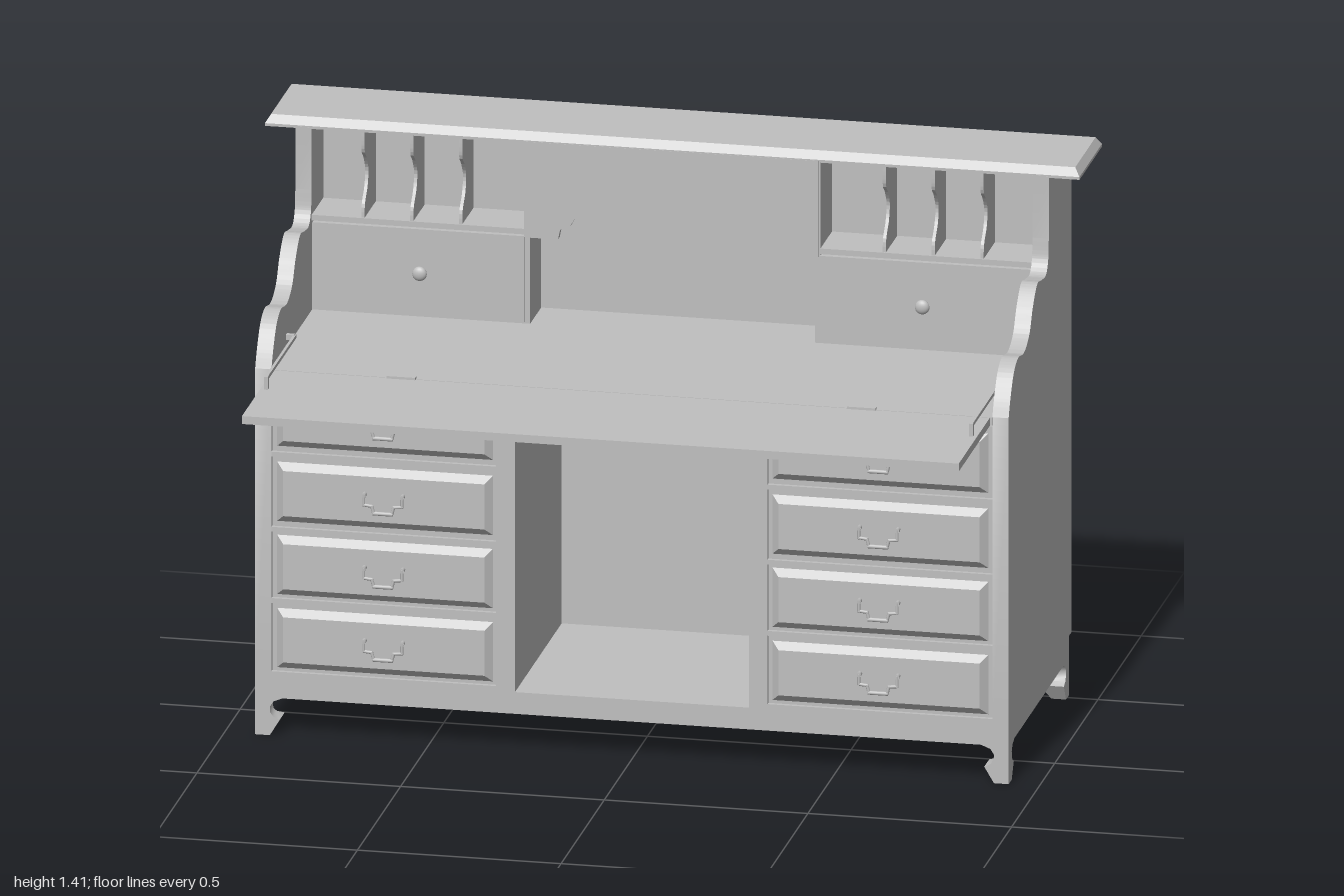
import * as THREE from 'three';
import { toCreasedNormals } from 'three/addons/utils/BufferGeometryUtils.js';

export function createModel() {
  const root = new THREE.Group();
  root.name = 'writingDesk';
  const grey = new THREE.MeshStandardMaterial({ color: 0xbfbfbf });
  grey.name = 'plain grey';

  const add = (name, geo, parent = root) => {
    const m = new THREE.Mesh(geo, grey);
    m.name = name;
    parent.add(m);
    return m;
  };
  // Box given by its extents
  const box = (name, x0, x1, y0, y1, z0, z1, parent) => {
    const g = new THREE.BoxGeometry(Math.abs(x1 - x0), y1 - y0, z1 - z0);
    g.translate((x0 + x1) / 2, (y0 + y1) / 2, (z0 + z1) / 2);
    return add(name, g, parent);
  };
  // Box whose +axis face is shrunk to make bevels
  const bevelBox = (w, h, d, axis, inset) => {
    const g = new THREE.BoxGeometry(w, h, d);
    const p = g.attributes.position;
    for (let i = 0; i < p.count; i++) {
      if (p.getComponent(i, axis) < 0) continue;
      for (let a = 0; a < 3; a++) {
        const v = p.getComponent(i, a);
        if (a !== axis) p.setComponent(i, a, v - Math.sign(v) * inset);
      }
    }
    g.computeVertexNormals();
    return g;
  };
  // Extrude a (z, y) outline along x, centred on cx
  const sideExtrude = (shape, thick, cx) => {
    const g = new THREE.ExtrudeGeometry(shape, { depth: thick, bevelEnabled: false, curveSegments: 36 });
    g.rotateY(-Math.PI / 2);
    g.translate(cx + thick / 2, 0, 0);
    return toCreasedNormals(g, 0.6);
  };
  // Round rod between two points
  const rod = (name, a, b, r, parent) => {
    const line = new THREE.LineCurve3(new THREE.Vector3(...a), new THREE.Vector3(...b));
    const g = new THREE.CylinderGeometry(r, r, line.getLength() + r, 8);
    const m = add(name, g, parent);
    m.position.copy(line.getPoint(0.5));
    m.quaternion.setFromUnitVectors(new THREE.Vector3(0, 1, 0), line.getTangent(0));
  };
  const V = (x, y) => new THREE.Vector2(x, y);

  // Wavy side panel outline
  const side = new THREE.Shape();
  side.moveTo(-0.545, 0.15);
  side.lineTo(0.18, 0.15);
  side.lineTo(0.18, 0.925);
  side.splineThru([V(0.158, 0.97), V(0.12, 1.02), V(0.07, 1.042), V(0, 1.034), V(-0.06, 1.06),
    V(-0.1, 1.115), V(-0.15, 1.157), V(-0.2, 1.152), V(-0.25, 1.148), V(-0.277, 1.175), V(-0.285, 1.23)]);
  side.lineTo(-0.285, 1.387);
  side.lineTo(-0.545, 1.387);

  // Pigeonhole divider outline with a scalloped front
  const divider = new THREE.Shape();
  divider.moveTo(-0.425, 1.16);
  divider.lineTo(-0.29, 1.16);
  divider.splineThru([V(-0.295, 1.2), V(-0.325, 1.235), V(-0.335, 1.275), V(-0.315, 1.31), V(-0.292, 1.335), V(-0.29, 1.387)]);
  divider.lineTo(-0.425, 1.387);

  // Bracket foot: square sections growing inward from the outer corner
  const footY = [0, 0.04, 0.048, 0.058, 0.072, 0.086, 0.098];
  const footW = [0.036, 0.06, 0.044, 0.037, 0.036, 0.045, 0.075];
  const foot = (sx, front) => {
    const g = new THREE.BoxGeometry(1, 1, 1, 1, 6, 1);
    const p = g.attributes.position;
    for (let i = 0; i < p.count; i++) {
      const k = Math.round((p.getY(i) + 0.5) * 6);
      const outX = p.getX(i) * sx > 0, outZ = p.getZ(i) * front > 0;
      p.setXYZ(i, sx * (0.925 - (outX ? 0 : footW[k])), footY[k],
        (front > 0 ? 0.18 : -0.52) - (outZ ? 0 : front * footW[k]));
    }
    return toCreasedNormals(g.toNonIndexed(), 0.7);
  };

  // Carcass
  box('base', -0.925, 0.925, 0.095, 0.15, -0.52, 0.18);
  box('backPanel', -0.885, 0.885, 0.15, 1.387, -0.538, -0.515);
  box('kneeholeBack', -0.3, 0.3, 0.15, 0.905, -0.38, -0.36);
  box('fixedDesktop', -0.885, 0.885, 0.905, 0.925, -0.52, 0.182);
  box('foldingLeaf', -0.88, 0.88, 0.905, 0.925, 0.185, 0.545);
  box('upperBack', -0.885, 0.885, 0.925, 1.387, -0.52, -0.42);
  const cap = add('topCap', bevelBox(2, 0.02, 0.262, 1, 0.013));
  cap.position.set(0, 1.4, -0.417);
  box('topCapEdge', -1, 1, 1.383, 1.39, -0.548, -0.286);

  // Centre fascia with a notched lower edge
  const fascia = new THREE.Shape([
    V(-0.36, 1.387), V(-0.36, 1.145), V(-0.28, 1.145), V(-0.275, 1.17), V(-0.25, 1.18), V(-0.24, 1.2),
    V(-0.065, 1.2), V(-0.045, 1.175), V(0, 1.132), V(0.045, 1.175), V(0.065, 1.2),
    V(0.24, 1.2), V(0.25, 1.18), V(0.275, 1.17), V(0.28, 1.145), V(0.36, 1.145), V(0.36, 1.387)]);
  add('fascia', new THREE.ExtrudeGeometry(fascia, { depth: 0.02, bevelEnabled: false })).position.z = -0.305;

  // Bail pull, mounted on a drawer front
  const pull = (x, y) => {
    const g = new THREE.Group();
    g.name = 'drawerPull';
    g.position.set(x, y, 0);
    root.add(g);
    const r = 0.004, z = 0.198;
    for (const s of [-1, 1]) {
      rod('pullPost', [s * 0.047, 0.018, 0.18], [s * 0.047, 0.018, z], 0.006, g);
      rod('pullArm', [s * 0.047, 0.018, z], [s * 0.047, -0.006, z], r, g);
      rod('pullShoulder', [s * 0.047, -0.006, z], [s * 0.027, -0.008, z], r, g);
      rod('pullDrop', [s * 0.027, -0.008, z], [s * 0.022, -0.026, z], r, g);
    }
    rod('pullGrip', [-0.022, -0.026, z], [0.022, -0.026, z], 0.005, g);
  };

  for (const s of [-1, 1]) {
    add('sidePanel', sideExtrude(side, 0.04, s * 0.905));
    add('frontFoot', foot(s, 1));
    add('backFoot', foot(s, -1));

    // Pedestal with four drawers
    box('pedestal', s * 0.287, s * 0.885, 0.15, 0.905, -0.515, 0.17);
    box('innerStile', s * 0.287, s * 0.333, 0.15, 0.905, 0.17, 0.18);
    for (const y of [0.15, 0.335, 0.515, 0.705, 0.89]) {
      box('drawerRail', s * 0.333, s * 0.885, y, y + 0.012, 0.17, 0.18);
    }
    for (const y of [0.245, 0.43, 0.615, 0.805]) {
      const d = add('drawerFront', bevelBox(0.53, 0.15, 0.016, 2, 0.018));
      d.position.set(s * 0.608, y, 0.178);
      pull(s * 0.608, y - 0.005);
    }

    // Small upper drawer and knob
    box('smallDrawer', s * 0.362, s * 0.88, 0.93, 1.148, -0.42, -0.284);
    box('drawerSurround', s * 0.35, s * 0.885, 0.925, 1.145, -0.42, -0.292);
    const knob = add('knob', new THREE.SphereGeometry(0.018, 20, 12));
    knob.scale.z = 0.6;
    knob.position.set(s * 0.617, 1.04, -0.271);
    rod('knobStem', [s * 0.617, 1.04, -0.29], [s * 0.617, 1.04, -0.275], 0.008);

    // Pigeonholes
    box('pigeonholeShelf', s * 0.355, s * 0.885, 1.152, 1.166, -0.42, -0.286);
    box('pigeonholeEnd', s * 0.353, s * 0.364, 1.145, 1.387, -0.42, -0.286);
    for (const x of [0.52, 0.64, 0.76]) add('divider', sideExtrude(divider, 0.008, s * x));

    // Leaf hinge and stay
    box('hinge', s * 0.53, s * 0.6, 0.923, 0.931, 0.177, 0.19);
    box('stayArm', s * 0.862, s * 0.869, 0.948, 0.957, 0, 0.335);
    box('stayPost', s * 0.861, s * 0.87, 0.922, 0.957, 0.322, 0.335);
    box('stayPivot', s * 0.865, s * 0.888, 0.946, 0.959, 0, 0.014);
  }
  return root;
}
